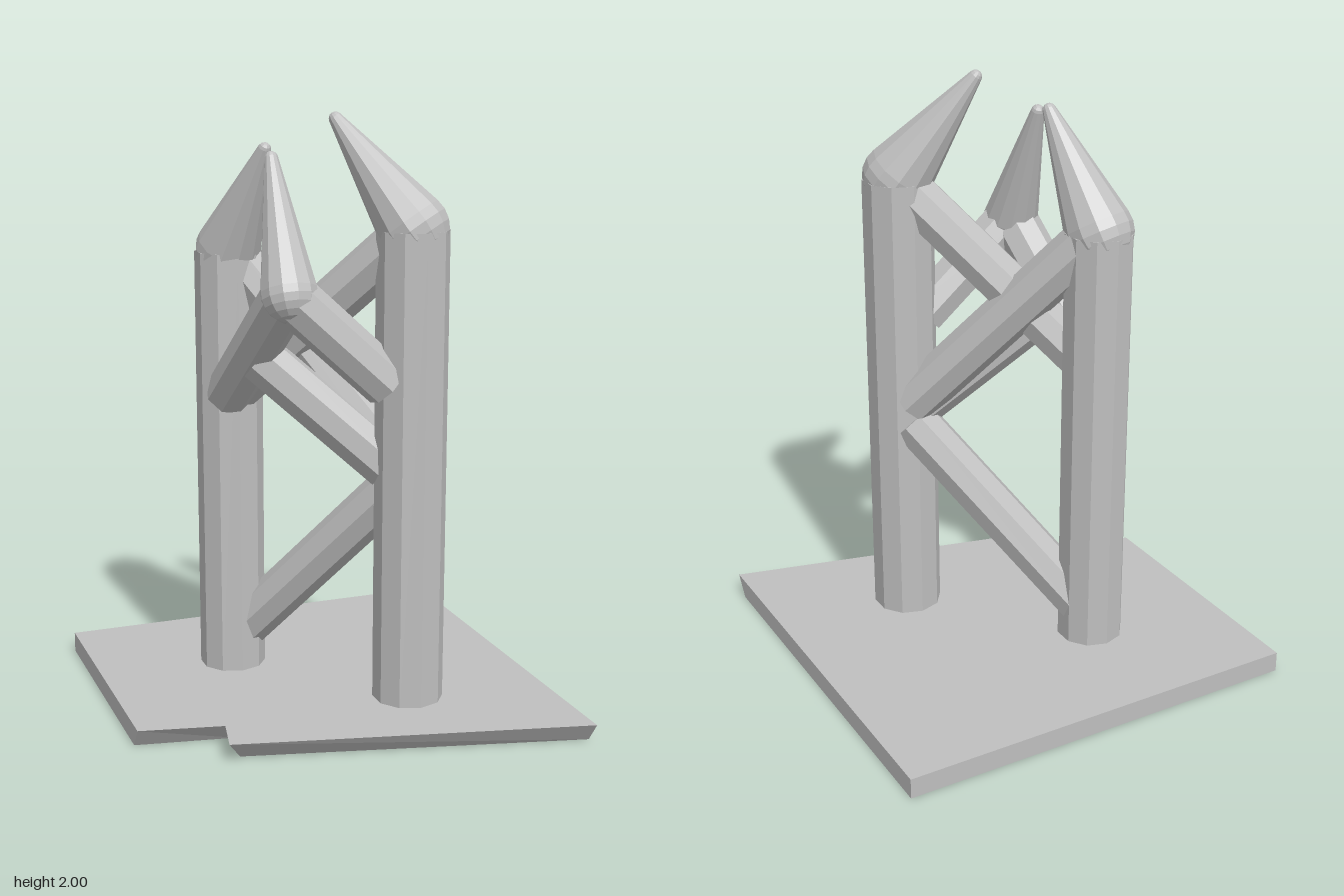
import * as THREE from 'three';

const grey = new THREE.MeshStandardMaterial({ color: 0xbfbfbf });
grey.name = 'stone grey';
grey.flatShading = true;

const vec = (p) => new THREE.Vector3(...p);

// Place a y-aligned geometry so its origin sits at a and it points to b
function aim(geometry, a, b, name) {
  const mesh = new THREE.Mesh(geometry, grey);
  const dir = vec(b).sub(vec(a)).normalize();
  mesh.quaternion.setFromUnitVectors(new THREE.Vector3(0, 1, 0), dir);
  mesh.position.copy(vec(a));
  mesh.name = name;
  return mesh;
}

// Straight faceted bar between two points
function bar(a, b, radius, sides, name) {
  const length = vec(a).distanceTo(vec(b));
  const g = new THREE.CylinderGeometry(radius, radius, length, sides);
  g.translate(0, length / 2, 0);
  return aim(g, a, b, name);
}

// Tapered claw: rounded root, straight taper, small rounded tip
function claw(root, tip, rootRadius, tipRadius, name) {
  const length = vec(root).distanceTo(vec(tip));
  const tilt = Math.asin((rootRadius - tipRadius) / length);
  const profile = [];
  for (let i = 0; i <= 6; i++) {
    const t = -Math.PI / 2 + (i / 6) * (Math.PI / 2 + tilt);
    profile.push(new THREE.Vector2(Math.cos(t) * rootRadius, Math.sin(t) * rootRadius));
  }
  for (let i = 0; i <= 3; i++) {
    const t = tilt + (i / 3) * (Math.PI / 2 - tilt);
    profile.push(new THREE.Vector2(Math.max(0, Math.cos(t) * tipRadius), length + Math.sin(t) * tipRadius));
  }
  return aim(new THREE.LatheGeometry(profile, 12), root, tip, name);
}

// Notched slab whose broken front edge is undercut
function makeBase() {
  const outline = [[-0.7, -0.7], [0.7, -0.7], [0.7, 0.7], [-0.455, 0.425], [-0.425, 0.285], [-0.7, 0.225]];
  const shape = new THREE.Shape(outline.map(([x, z]) => new THREE.Vector2(x, -z)));
  const g = new THREE.ExtrudeGeometry(shape, { depth: 0.07, bevelEnabled: false });
  g.rotateX(-Math.PI / 2);
  const p = g.attributes.position;
  for (let i = 0; i < p.count; i++) {
    if (p.getY(i) < 0.01 && p.getZ(i) > 0.2) {
      p.setZ(i, p.getZ(i) - 0.05);
      if (Math.abs(p.getX(i)) < 0.6) p.setX(i, p.getX(i) + 0.05);
    }
  }
  g.computeVertexNormals();
  const mesh = new THREE.Mesh(g, grey);
  mesh.name = 'base';
  return mesh;
}

export function createModel() {
  const model = new THREE.Group();
  model.name = 'clawSculpture';
  model.add(makeBase());

  // Two upright columns
  model.add(bar([0.225, 0.05, 0.257], [0.225, 1.64, 0.257], 0.118, 10, 'tallColumn'));
  model.add(bar([-0.228, 0.05, -0.25], [-0.228, 1.53, -0.25], 0.113, 10, 'shortColumn'));

  // Three claws bending towards the middle
  model.add(claw([0.225, 1.645, 0.257], [0.022, 1.98, 0.1], 0.116, 0.022, 'tallClaw'));
  model.add(claw([-0.228, 1.53, -0.25], [-0.168, 1.88, -0.038], 0.112, 0.022, 'shortClaw'));
  model.add(claw([-0.178, 1.45, 0.22], [-0.172, 1.858, 0.04], 0.092, 0.022, 'hangingClaw'));

  // Diagonal struts
  const struts = [
    ['lowerStrut', [-0.2, 0.18, -0.25], [0.22, 0.8, 0.19]],
    ['upperStrut', [0.22, 0.87, 0.19], [-0.2, 1.51, -0.25]],
    ['crossStrut', [0.2, 1.6, 0.22], [-0.22, 1.07, -0.2]],
    ['clawFrontStrut', [-0.18, 1.45, 0.225], [0.14, 1.15, 0.265]],
    ['clawSideStrut', [-0.183, 1.45, 0.22], [-0.248, 1.05, -0.2]],
    ['innerStrut', [0.17, 0.86, 0.2], [-0.2, 1.21, 0]],
  ];
  for (const [name, a, b] of struts) model.add(bar(a, b, 0.082, 8, name));

  return model;
}
